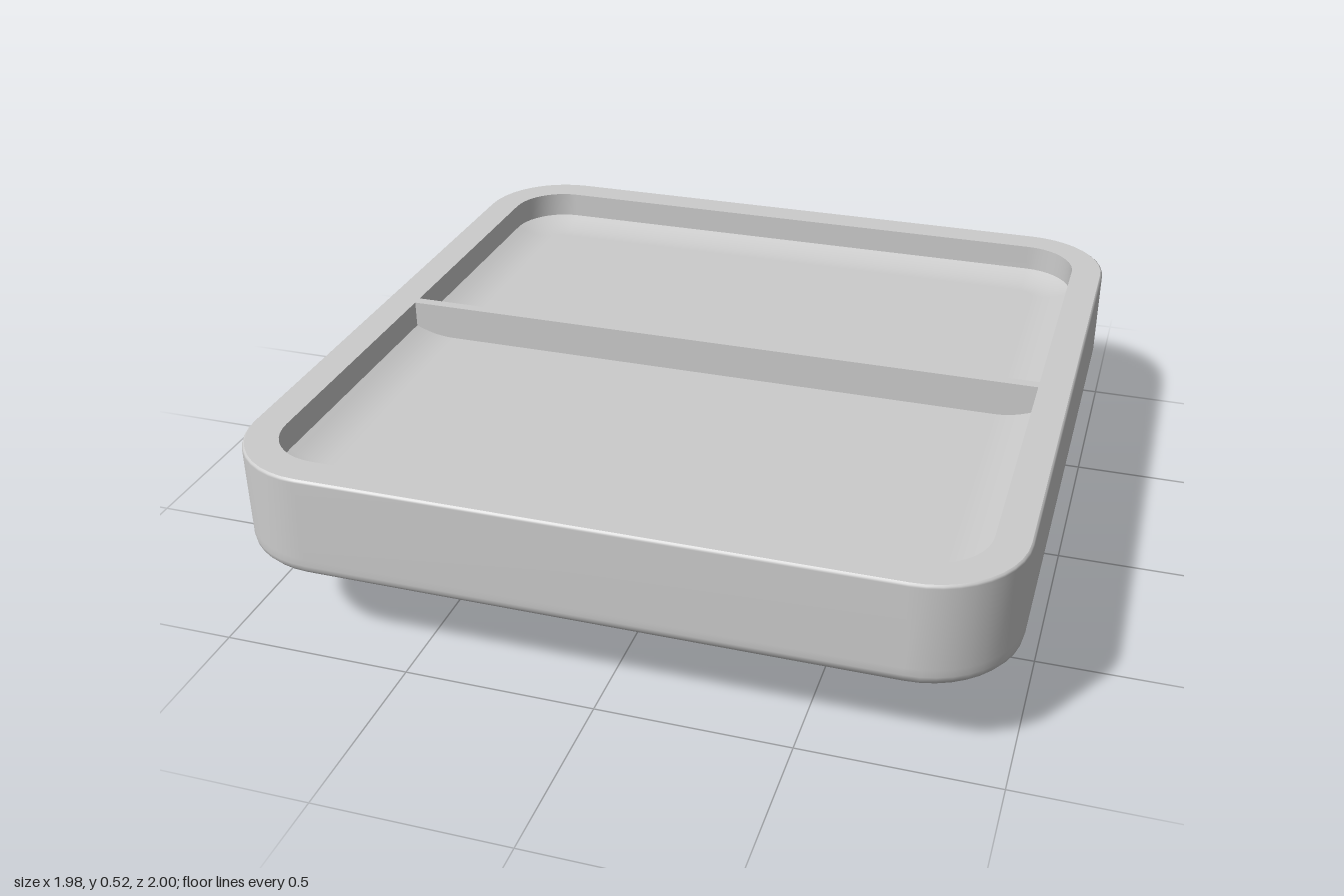
import * as THREE from 'three';

const material = new THREE.MeshStandardMaterial({ color: 0xcccccc });
const HX = 0.988, HZ = 1, RADIUS = 0.24, TOP = 0.518;
const ARC = 10; // segments per rounded corner

// Rounded rectangle in the xz plane at height y, inset from the outer outline
function ring(inset, y, r = Math.max(RADIUS - inset, 0.012)) {
  const hx = Math.max(HX - inset, 0), hz = Math.max(HZ - inset * HZ / HX, 0);
  r = Math.min(r, hx, hz);
  const points = [];
  for (let corner = 0; corner < 4; corner++) {
    const sx = corner === 0 || corner === 3 ? 1 : -1;
    const sz = corner < 2 ? 1 : -1;
    for (let i = 0; i <= ARC; i++) {
      const a = (corner + i / ARC) * Math.PI / 2;
      points.push([sx * (hx - r) + r * Math.cos(a), y, sz * (hz - r) + r * Math.sin(a)]);
    }
  }
  return points;
}

// Smooth skin through a run of rings
function loft(name, rings) {
  const n = rings[0].length, index = [];
  for (let i = 0; i < rings.length - 1; i++) {
    for (let j = 0; j < n; j++) {
      const a = i * n + j, b = i * n + (j + 1) % n;
      index.push(a, a + n, b, b, a + n, b + n);
    }
  }
  const geometry = new THREE.BufferGeometry();
  geometry.setAttribute('position', new THREE.Float32BufferAttribute(rings.flat(2), 3));
  geometry.setIndex(index);
  geometry.computeVertexNormals();
  const mesh = new THREE.Mesh(geometry, material);
  mesh.name = name;
  return mesh;
}

export function createModel() {
  const group = new THREE.Group();
  group.name = 'dividedTray';

  // Underside: shallow dome, straight slope, then a rounded turn into the wall
  const under = [];
  for (let i = 0; i <= 8; i++) {
    const d = 0.6 * i / 8;
    under.push(ring(HX - d, 0.03 * (d / 0.6) ** 2 + 0.045 * (d / 0.6) ** 4));
  }
  under.push(ring(HX - 0.63, 0.087), ring(HX - 0.75, 0.14), ring(HX - 0.88, 0.197));
  for (const [x, y] of [[0.925, 0.216], [0.955, 0.231], [0.975, 0.245], [0.985, 0.257], [0.988, 0.27]]) {
    under.push(ring(HX - x, y));
  }

  // Outer wall with a fine softened top edge
  under.push(ring(0, 0.29), ring(0, TOP - 0.008));
  group.add(loft('outerShell', [...under, ring(0.002, TOP - 0.003), ring(0.006, TOP)]));

  // Flat rim and vertical inner wall
  const INNER = 0.09;
  group.add(loft('rim', [ring(0.006, TOP), ring(INNER, TOP)]));
  group.add(loft('innerWall', [ring(INNER, TOP), ring(INNER, 0.445)]));

  // Floor, gently dished up to the wall
  const floor = [];
  for (let i = 0; i <= 6; i++) {
    const t = i / 6;
    floor.push(ring(INNER + 0.11 * t, 0.42 + 0.025 * (1 - t) ** 2));
  }
  floor.push(ring(0.25, 0.42), ring(HX, 0.42));
  group.add(loft('floor', floor));

  // Thin divider flush with the rim
  const divider = new THREE.Mesh(new THREE.BoxGeometry(2 * (HX - INNER), TOP - 0.41, 0.03), material);
  divider.position.set(0, (TOP + 0.41) / 2, -0.005);
  divider.name = 'divider';
  group.add(divider);

  return group;
}
